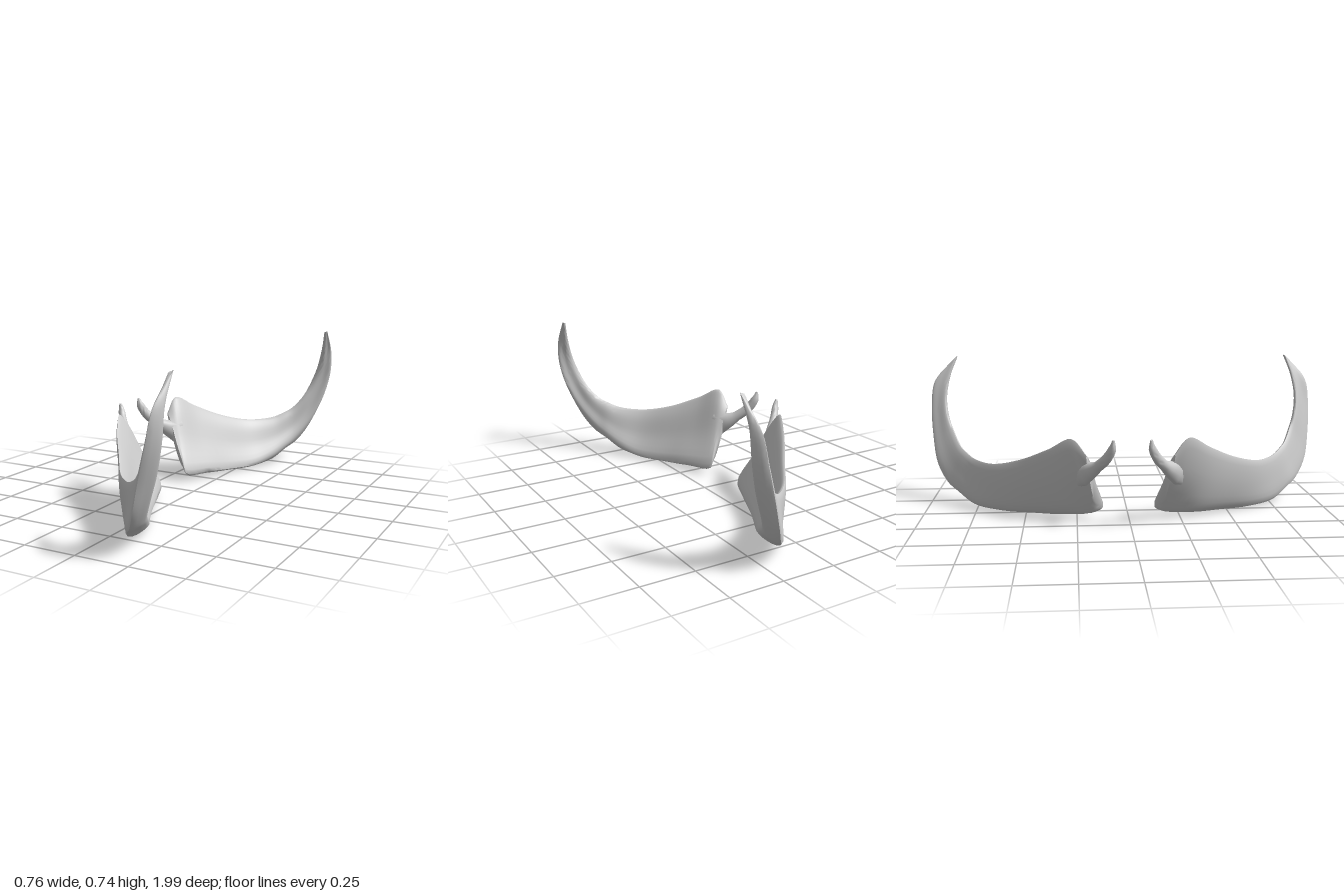
import * as THREE from 'three';
import { toCreasedNormals } from 'three/addons/utils/BufferGeometryUtils.js';

const V = (a) => new THREE.Vector3(...a);

// Cross-sections along the blade: [top or inner edge, outer keel, inner keel], bulge of the outer face
const stations = [
  [[-0.268, 0.335, 0.205], [-0.165, 0.085, 0.16], [-0.13, 0.075, 0.13], 0.015],
  [[-0.257, 0.412, 0.272], [-0.14, 0.035, 0.185], [-0.115, 0.045, 0.127], 0.035],
  [[-0.2, 0.355, 0.38], [-0.12, 0.018, 0.31], [-0.05, 0.03, 0.27], 0.03],
  [[-0.1, 0.285, 0.52], [-0.05, 0.01, 0.47], [0.012, 0.015, 0.43], 0.024],
  [[0, 0.245, 0.66], [0.02, 0.005, 0.63], [0.085, 0.015, 0.57], 0.019],
  [[0.1, 0.25, 0.76], [0.1, 0.017, 0.765], [0.145, 0.05, 0.67], 0.014],
  [[0.15, 0.273, 0.805], [0.15, 0.07, 0.85], [0.185, 0.09, 0.745], 0.012],
  [[0.19, 0.3, 0.84], [0.2, 0.11, 0.91], [0.22, 0.13, 0.81], 0.01],
  [[0.24, 0.365, 0.877], [0.25, 0.2, 0.965], [0.278, 0.22, 0.88], 0.007],
  [[0.273, 0.44, 0.907], [0.29, 0.33, 0.988], [0.34, 0.36, 0.925], 0.004],
  [[0.305, 0.53, 0.919], [0.33, 0.48, 0.997], [0.374, 0.5, 0.945], 0.002],
  [[0.336, 0.64, 0.9], [0.352, 0.61, 0.98], [0.379, 0.62, 0.935], 0.002],
  [[0.358, 0.735, 0.868], [0.368, 0.71, 0.897], [0.375, 0.742, 0.863], 0.002],
];

// Skin closed rings of points; side = -1 builds the mirror image in z
function loft(rings, side) {
  const n = rings[0].length, last = rings.length - 1;
  const pos = [], idx = [];
  const tri = (a, b, c) => idx.push(...(side > 0 ? [a, b, c] : [a, c, b]));
  const put = (p) => pos.push(p.x, p.y, p.z * side);
  rings.forEach((ring) => ring.forEach(put));
  for (const end of [0, last]) {
    const c = new THREE.Vector3();
    rings[end].forEach((p) => c.addScaledVector(p, 1 / n));
    put(c);
  }
  const c0 = rings.length * n;
  for (let j = 0; j < n; j++) {
    const k = (j + 1) % n;
    for (let i = 0; i < last; i++) {
      const a = i * n + j, b = i * n + k;
      tri(a, b, a + n);
      tri(b, b + n, a + n);
    }
    tri(c0, k, j);
    tri(c0 + 1, last * n + j, last * n + k);
  }
  const g = new THREE.BufferGeometry();
  g.setAttribute('position', new THREE.Float32BufferAttribute(pos, 3));
  g.setIndex(idx);
  return toCreasedNormals(g, 0.9);
}

// Body and upswept horn as one skin: rounded rim, bulged outer face, flat inner face
function bladeRings() {
  const outward = new THREE.Vector3(-0.85, -0.1, 0.5);
  const inward = new THREE.Vector3(0.75, 0.2, -0.6);
  const sections = stations.map(([t, o, b, bulge]) => {
    const T = V(t), O = V(o), B = V(b);
    const M = T.clone().lerp(O, 0.5).addScaledVector(outward, bulge);
    const N = T.clone().lerp(B, 0.55).addScaledVector(inward, 0.004);
    const rim = T.clone().lerp(B, 0.15).addScaledVector(inward, 0.012);
    return [T, M, O, B, N, rim];
  });
  const rails = sections[0].map((_, k) => new THREE.CatmullRomCurve3(sections.map((s) => s[k])));
  const rings = [];
  for (let i = 0; i <= 60; i++) {
    const loop = new THREE.CatmullRomCurve3(rails.map((r) => r.getPoint(i / 60)), true);
    rings.push(Array.from({ length: 30 }, (_, j) => loop.getPoint(j / 30)));
  }
  return rings;
}

// Small hook flaring into the near end of the body
function hookRings() {
  const path = new THREE.CatmullRomCurve3([
    [-0.185, 0.215, 0.27], [-0.22, 0.242, 0.222], [-0.255, 0.262, 0.187], [-0.29, 0.288, 0.155],
    [-0.337, 0.335, 0.115], [-0.362, 0.385, 0.09], [-0.372, 0.425, 0.085],
  ].map(V));
  const tall = [0.05, 0.06, 0.042, 0.026, 0.024, 0.02, 0.006];
  const wide = [0.015, 0.03, 0.03, 0.024, 0.02, 0.016, 0.006];
  const up = new THREE.Vector3(0, 1, 0);
  const steps = 24, spans = tall.length - 1;
  return Array.from({ length: steps + 1 }, (_, i) => {
    const f = (i / steps) * spans, k = Math.min(spans - 1, Math.floor(f));
    const h = THREE.MathUtils.lerp(tall[k], tall[k + 1], f - k);
    const w = THREE.MathUtils.lerp(wide[k], wide[k + 1], f - k);
    const p = path.getPoint(i / steps), t = path.getTangent(i / steps);
    const s = t.clone().cross(up).normalize(), u = s.clone().cross(t);
    return Array.from({ length: 14 }, (_, j) => {
      const a = (j / 14) * Math.PI * 2;
      return p.clone().addScaledVector(u, h * Math.cos(a)).addScaledVector(s, w * Math.sin(a));
    });
  });
}

export function createModel() {
  const model = new THREE.Group();
  const material = new THREE.MeshStandardMaterial({ color: 0xcccccc });
  const parts = { Blade: bladeRings(), Hook: hookRings() };
  for (const side of [1, -1]) {
    const half = new THREE.Group();
    half.name = side > 0 ? 'frontHalf' : 'backHalf';
    for (const [name, rings] of Object.entries(parts)) {
      const mesh = new THREE.Mesh(loft(rings, side), material);
      mesh.name = (side > 0 ? 'front' : 'back') + name;
      half.add(mesh);
    }
    model.add(half);
  }
  return model;
}
